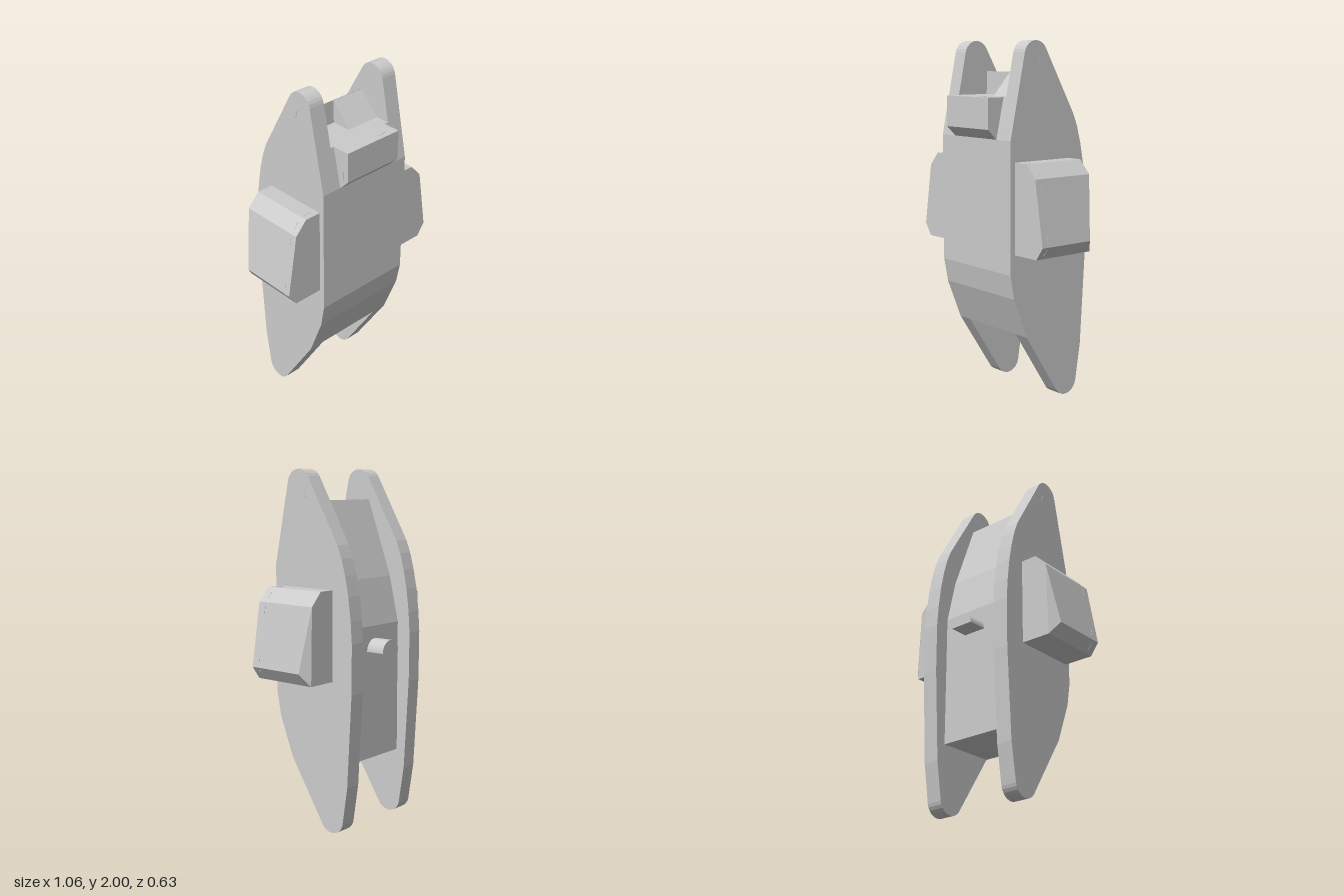
import * as THREE from 'three';
import { ConvexGeometry } from 'three/addons/geometries/ConvexGeometry.js';

const material = new THREE.MeshStandardMaterial({ color: 0xcccccc, flatShading: true });

function add(parent, name, geometry) {
  const mesh = new THREE.Mesh(geometry, material);
  mesh.name = name;
  parent.add(mesh);
  return mesh;
}

// Side profile of [z, y] points, extruded along x from x0 to x1
function sideExtrude(points, x0, x1) {
  const shape = new THREE.Shape(points.map(([z, y]) => new THREE.Vector2(z, y)));
  const g = new THREE.ExtrudeGeometry(shape, { depth: x1 - x0, bevelEnabled: false });
  return g.rotateY(-Math.PI / 2).translate(x1, 0, 0);
}

// Rounded tip: points on an arc, angles in degrees
function arc(z, y, r, from, to, steps = 10) {
  return Array.from({ length: steps + 1 }, (_, i) => {
    const a = THREE.MathUtils.degToRad(from + (to - from) * i / steps);
    return [z + r * Math.cos(a), y + r * Math.sin(a)];
  });
}

export function createModel() {
  const model = new THREE.Group();
  model.name = 'armUnit';

  // Long side plates with rounded ends
  const plate = [
    ...arc(0.085, 1.92, 0.08, 12, 149),
    [-0.19, 1.6], [-0.218, 1.53], [-0.243, 1.44], [-0.265, 1.33], [-0.281, 1.2], [-0.289, 1.08],
    [-0.287, 0.8], [-0.257, 0.28],
    ...arc(-0.145, 0.08, 0.08, -169, -34),
    [0.145, 0.385], [0.235, 0.615], [0.26, 0.75], [0.26, 1.475],
  ];

  // Central body between the plates, with a stepped top
  const body = [
    [0.145, 0.385], [0.235, 0.615], [0.26, 0.75], [0.26, 1.475], [0.21, 1.7],
    [0.015, 1.7], [0.01, 1.83], [-0.145, 1.4], [-0.205, 1.14], [-0.205, 0.385],
  ];
  add(model, 'body', sideExtrude(body, -0.21, 0.21));

  // Sloped wedge on one half of the top recess
  add(model, 'topWedge', sideExtrude([[0.005, 1.69], [0.13, 1.7], [0.013, 1.83]], 0, 0.21));

  // Projecting block at the upper front
  add(model, 'frontBlock', sideExtrude(
    [[0.1, 1.7], [0.1, 1.475], [0.26, 1.475], [0.315, 1.53], [0.315, 1.7]], -0.185, 0.185));
  add(model, 'blockTopSlot', new THREE.BoxGeometry(0.048, 0.004, 0.012)).position.set(0.09, 1.7, 0.277);

  // Half-round peg on the back
  const peg = new THREE.CylinderGeometry(0.07, 0.07, 0.13, 16, 1, false, -Math.PI / 2, Math.PI);
  add(model, 'backPeg', new THREE.ExtrudeGeometry(
    new THREE.Shape().absarc(0, 0, 0.07, 0, Math.PI, false),
    { depth: 0.12, bevelEnabled: false, curveSegments: 12 })).position.set(0, 1.0, -0.315);
  peg.dispose();

  // Side pod outline [x, y], top to bottom
  const pod = [[0.3, 1.36], [0.4, 1.36], [0.47, 1.285], [0.53, 0.93], [0.48, 0.86], [0.3, 0.86]];
  // Slots on the pod faces: [x, y, length, tilt]
  const slots = [
    [0.355, 1.36, 0.045, 0], [0.435, 1.3225, 0.042, -0.82],
    [0.4776, 1.24, 0.045, -1.403], [0.5224, 0.975, 0.045, -1.403], [0.505, 0.895, 0.042, 0.95],
  ];

  for (const s of [-1, 1]) {
    const side = new THREE.Group();
    side.name = s > 0 ? 'leftSide' : 'rightSide';
    model.add(side);

    add(side, 'sidePlate', sideExtrude(plate, s > 0 ? 0.21 : -0.305, s > 0 ? 0.305 : -0.21));

    // Pod with its outer rear corner cut off
    const corners = [];
    pod.forEach(([x, y], i) => {
      corners.push(new THREE.Vector3(s * x, y, 0.23));
      corners.push(new THREE.Vector3(s * x, y, i === 3 ? -0.11 : -0.155));
    });
    add(side, 'sidePod', new ConvexGeometry(corners));

    for (const [x, y, length, tilt] of slots) {
      const slot = add(side, 'podSlot', new THREE.BoxGeometry(length, 0.004, 0.012));
      slot.position.set(s * x, y, 0.187);
      slot.rotation.z = s * tilt;
    }

    // Small slots on the plate tip and the block end
    const tipSlot = add(side, 'tipSlot', new THREE.BoxGeometry(0.004, 0.055, 0.025));
    tipSlot.position.set(s * 0.305, 1.875, 0.052);
    tipSlot.rotation.x = 0.3;
    add(side, 'blockSideSlot', new THREE.BoxGeometry(0.004, 0.048, 0.012)).position.set(s * 0.185, 1.56, 0.28);
  }
  return model;
}
